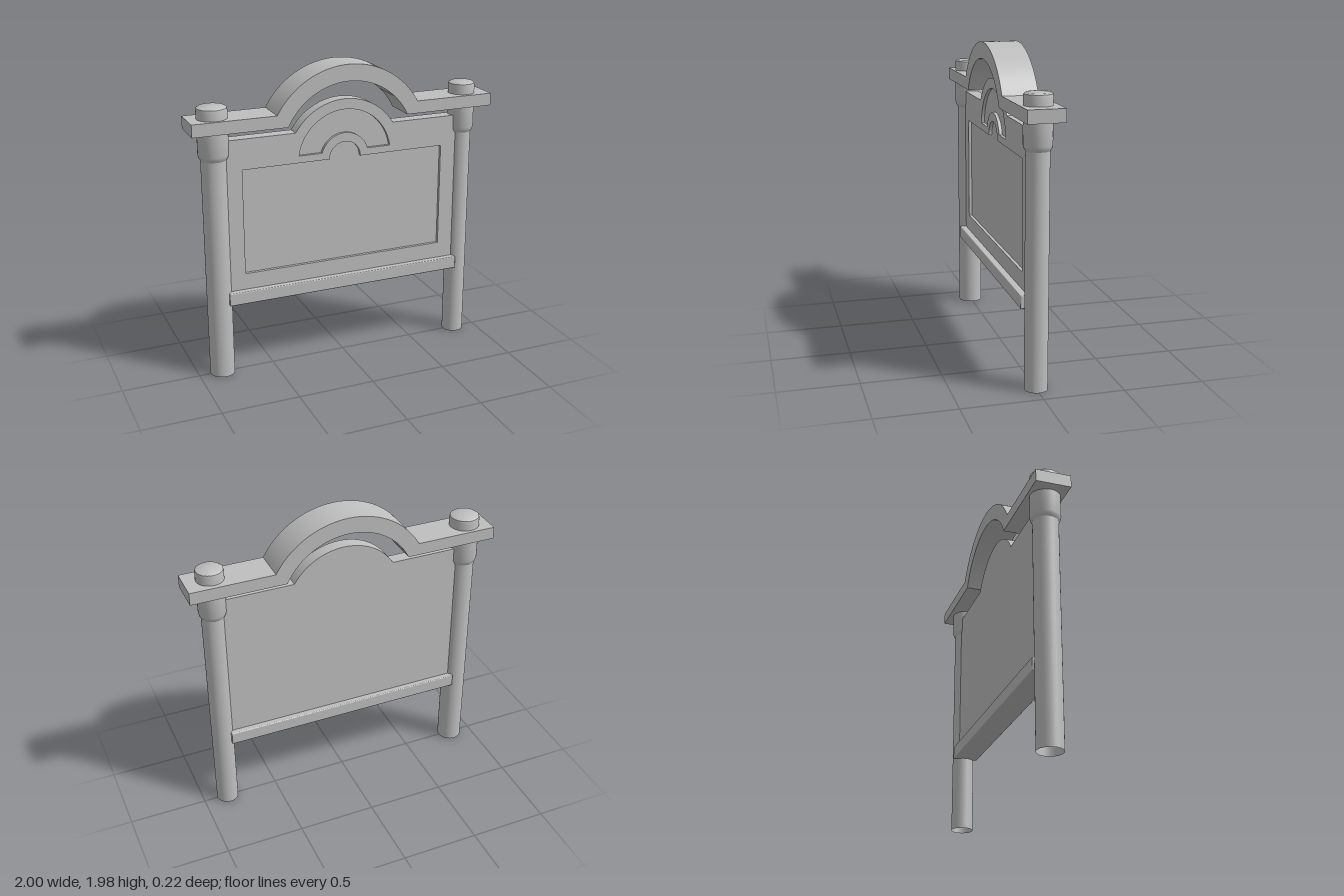
import * as THREE from 'three';
import { toCreasedNormals } from 'three/addons/utils/BufferGeometryUtils.js';
import { RoundedBoxGeometry } from 'three/addons/geometries/RoundedBoxGeometry.js';

const stone = new THREE.MeshStandardMaterial({ color: 0xbfbfbf, side: THREE.DoubleSide });
stone.name = 'light grey';

// Arc of a circle centred on x = 0, cut off at height y; runs right to left, or back again
function arch(path, cy, r, y, back = false) {
  const a = Math.asin((y - cy) / r);
  if (back) path.absarc(0, cy, r, Math.PI - a, a, true);
  else path.absarc(0, cy, r, a, Math.PI - a, false);
}

// Board outline: straight shoulders with an arched middle
function boardOutline() {
  const s = new THREE.Shape();
  s.moveTo(-0.83, 0.54);
  s.lineTo(0.83, 0.54);
  s.lineTo(0.83, 1.56);
  arch(s, 1.358, 0.387, 1.56);
  s.lineTo(-0.83, 1.56);
  s.closePath();
  return s;
}

// Main recess: rectangle with a half-round bump on top
function panelRecess() {
  const p = new THREE.Path();
  p.moveTo(-0.68, 0.68);
  p.lineTo(0.68, 0.68);
  p.lineTo(0.68, 1.365);
  arch(p, 1.365, 0.105, 1.365);
  p.lineTo(-0.68, 1.365);
  p.closePath();
  return p;
}

// Fan recess: half ring above the main recess
function fanRecess() {
  const p = new THREE.Path();
  arch(p, 1.365, 0.313, 1.41);
  arch(p, 1.365, 0.162, 1.41, true);
  p.closePath();
  return p;
}

// Cross beam that arches over the board
function beamOutline() {
  const s = new THREE.Shape();
  s.moveTo(1, 1.62);
  s.lineTo(1, 1.7);
  arch(s, 1.436, 0.539, 1.7);
  s.lineTo(-1, 1.7);
  s.lineTo(-1, 1.62);
  arch(s, 1.425, 0.445, 1.62, true);
  s.closePath();
  return s;
}

function slab(shape, z0, z1) {
  const g = new THREE.ExtrudeGeometry(shape, { depth: z1 - z0, bevelEnabled: false, curveSegments: 32 });
  g.translate(0, 0, z0);
  return toCreasedNormals(g, 0.5);
}

export function createModel() {
  const model = new THREE.Group();
  const add = (name, geometry, parent = model) => {
    const m = new THREE.Mesh(geometry, stone);
    m.name = name;
    parent.add(m);
    return m;
  };

  // Board: solid back with a pierced front layer forming the recesses
  const face = boardOutline();
  face.holes.push(panelRecess(), fanRecess());
  add('boardBack', slab(boardOutline(), -0.043, 0.023));
  add('boardFace', slab(face, 0.023, 0.043));

  add('archedBeam', slab(beamOutline(), -0.115, 0.11));

  // Bottom rail
  const rail = add('bottomRail', new RoundedBoxGeometry(1.6, 0.083, 0.165, 2, 0.006));
  rail.position.set(0, 0.532, 0.002);

  // Posts: the right-hand one (-x) is a little thicker
  for (const [name, x, r] of [['rightPost', -0.845, 0.08], ['leftPost', 0.84, 0.071]]) {
    const post = new THREE.Group();
    post.name = name;
    post.position.x = x;
    model.add(post);

    const shaft = add(name + 'Shaft', new THREE.CylinderGeometry(r, r, 1.46, 32, 1, true), post);
    shaft.position.y = 0.73;

    // Collar with a tapered foot and softened top edge
    const profile = [
      [r, 1.442], [r + 0.009, 1.455], [r + 0.015, 1.475], [r + 0.015, 1.75],
      [r + 0.012, 1.765], [r + 0.002, 1.772], [0, 1.775],
    ].map(([px, py]) => new THREE.Vector2(px, py));
    add(name + 'Collar', toCreasedNormals(new THREE.LatheGeometry(profile, 32), 0.7), post);
  }
  return model;
}
